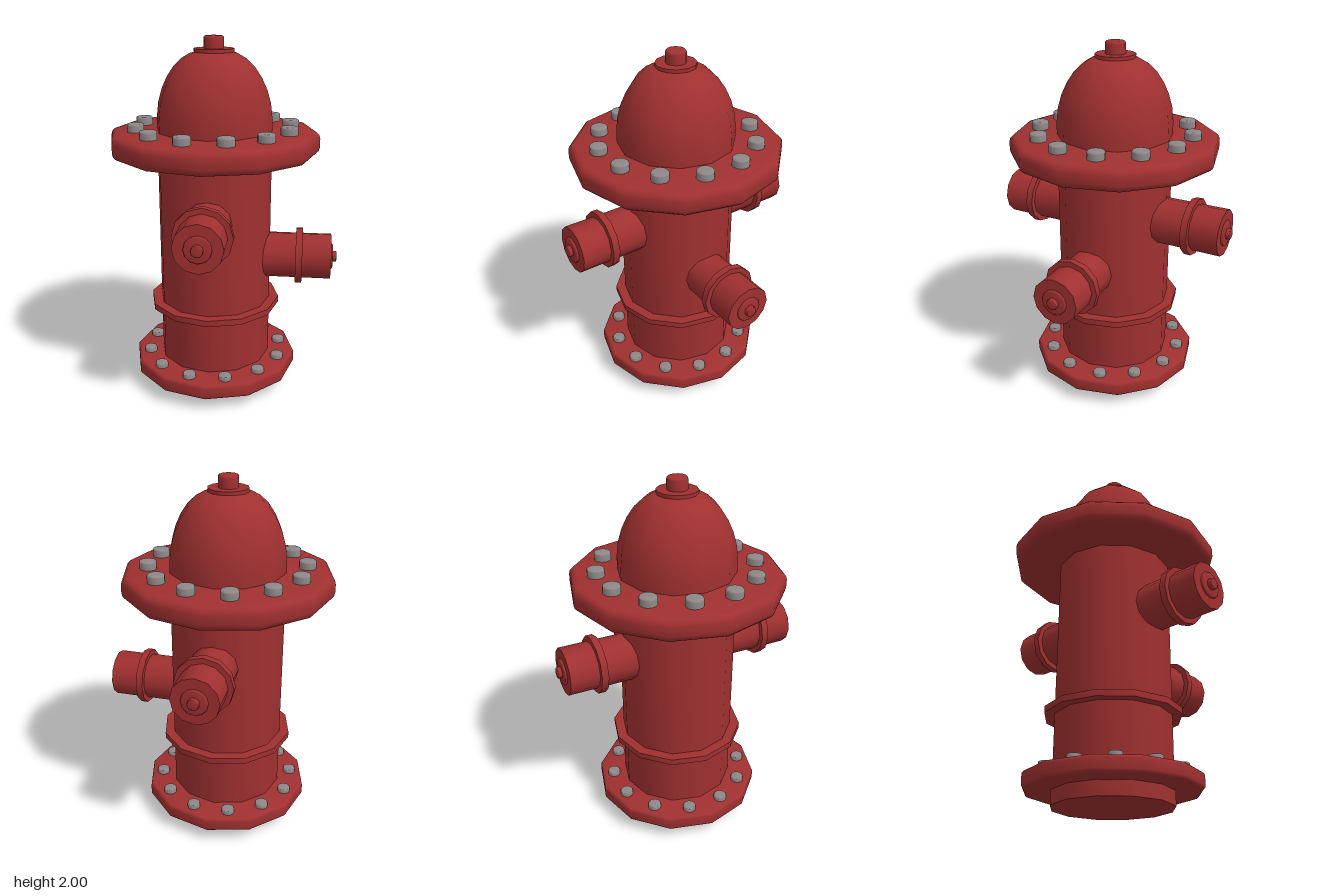
import * as THREE from 'three';
import { toCreasedNormals } from 'three/addons/utils/BufferGeometryUtils.js';

const SIDES = 12;

// Turned part from [radius, height] pairs, listed bottom to top
function turned(profile) {
  const points = profile.map(([r, y]) => new THREE.Vector2(r, y));
  return toCreasedNormals(new THREE.LatheGeometry(points, SIDES), 0.7);
}

// Closed disc profile with optional rounded rims
function disc(r, y0, y1, bottom = 0, top = 0) {
  const p = [[0, y0]];
  const arc = (b, y, from, to) => {
    if (!b) { p.push([r, y]); return; }
    for (let i = 0; i <= 3; i++) {
      const a = from + (to - from) * i / 3;
      p.push([r - b + b * Math.cos(a), y + b * Math.sin(a)]);
    }
  };
  arc(bottom, y0 + bottom, -Math.PI / 2, 0);
  arc(top, y1 - top, 0, Math.PI / 2);
  p.push([0, y1]);
  return turned(p);
}

export function createModel() {
  const model = new THREE.Group();
  model.name = 'fireHydrant';
  const red = new THREE.MeshStandardMaterial({ color: 0xa03030 });
  red.name = 'red paint';
  const grey = new THREE.MeshStandardMaterial({ color: 0x8f8787 });
  grey.name = 'grey metal';

  // Everything is turned about the barrel axis, which sits left of centre
  const hydrant = new THREE.Group();
  hydrant.name = 'hydrant';
  hydrant.position.x = -0.06;
  model.add(hydrant);

  const add = (name, geometry, material = red, parent = hydrant) => {
    const mesh = new THREE.Mesh(geometry, material);
    mesh.name = name;
    parent.add(mesh);
    return mesh;
  };

  // Barrel and flanges
  add('foot', disc(0.325, 0, 0.09));
  add('baseFlange', disc(0.475, 0.077, 0.163, 0.018, 0.018));
  add('barrel', disc(0.32, 0.15, 1.39));
  add('barrelRing', disc(0.375, 0.475, 0.51));
  add('topFlange', disc(0.582, 1.37, 1.497, 0.04, 0.04));

  // Bonnet with its cap nut
  add('bonnet', turned([
    [0.32, 1.48], [0.32, 1.56], [0.31, 1.645], [0.29, 1.715], [0.26, 1.78],
    [0.22, 1.84], [0.175, 1.882], [0.13, 1.908], [0.07, 1.922], [0, 1.925],
  ]));
  add('capWasher', disc(0.11, 1.915, 1.934));
  add('capNut', disc(0.055, 1.92, 2, 0, 0.012));

  // Bolt circles
  const boltRing = (name, radius, y, geometry) => {
    for (let i = 0; i < 12; i++) {
      const a = (i + 0.5) * Math.PI / 6;
      add(name, geometry, grey).position.set(radius * Math.sin(a), y, radius * Math.cos(a));
    }
  };
  boltRing('topBolt', 0.43, 1.485, disc(0.047, 0, 0.057, 0, 0.009));
  boltRing('baseBolt', 0.39, 0.15, disc(0.037, 0, 0.04, 0, 0.007));

  // Outlets, each built along its own axis and swung outward
  const outletParts = [
    ['outletPipe', disc(0.13, 0.2, 0.668)],
    ['outletCollar', disc(0.16, 0.469, 0.507)],
    ['outletCap', disc(0.072, 0.66, 0.68, 0, 0.006)],
    ['outletNut', disc(0.031, 0.67, 0.702, 0, 0.005)],
  ];
  outletParts.forEach(([, g]) => g.rotateX(Math.PI / 2));
  for (const [name, turn, y] of [
    ['frontOutlet', 0, 1.04],
    ['leftOutlet', Math.PI / 2, 0.775],
    ['backOutlet', Math.PI, 1.04],
  ]) {
    const outlet = new THREE.Group();
    outlet.name = name;
    outlet.position.y = y;
    outlet.rotation.y = turn;
    outletParts.forEach(([part, g]) => add(part, g, red, outlet));
    hydrant.add(outlet);
  }
  return model;
}
